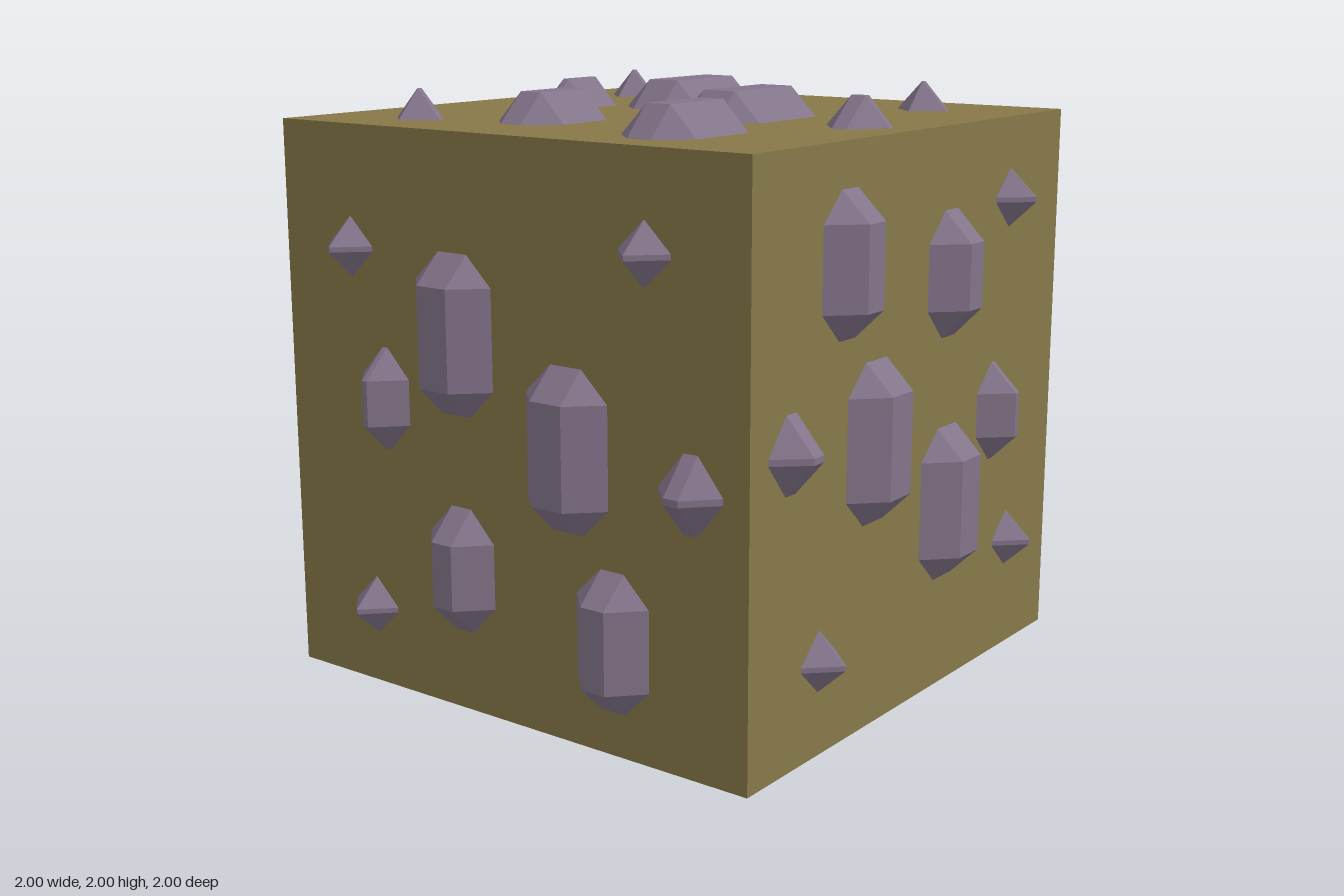
import * as THREE from 'three';

const HALF = 0.906;   // half side of the block
const DEPTH = 0.094;  // how far crystals stand out

// Crystal sizes: half width, half height, half width of flat, half height of flat
const SIZES = {
  large: [0.154, 0.25, 0.058, 0.158],
  tall: [0.135, 0.218, 0.043, 0.128],
  medium: [0.132, 0.2, 0.04, 0.104],
  narrow: [0.1, 0.165, 0.01, 0.073],
  wide: [0.112, 0.118, 0.025, 0.01],
  small: [0.093, 0.095, 0.002, 0.008],
};

// Crystal positions on one face: size, across, up
const LAYOUT = [
  ['large', 0.256, 0.003], ['large', -0.184, 0.293],
  ['tall', 0.422, -0.552], ['medium', -0.173, -0.447],
  ['narrow', -0.483, 0.053], ['wide', 0.706, -0.053],
  ['small', -0.616, 0.523], ['small', 0.546, 0.609], ['small', -0.558, -0.644],
];

// Across and up directions of each face; the outward normal is their cross product
const FACES = {
  front: [[1, 0, 0], [0, 1, 0]],
  back: [[1, 0, 0], [0, -1, 0]],
  left: [[0, 0, 1], [0, -1, 0]],
  right: [[0, 0, 1], [0, 1, 0]],
  top: [[1, 0, 0], [0, 0, -1]],
  bottom: [[-1, 0, 0], [0, 0, -1]],
};

// Half-buried bevelled crystal: flat top, four sloped sides, four corner facets
function crystalGeometry([w, h, fw, fh]) {
  const pos = [];
  const tri = (a, b, c) => pos.push(...a, ...b, ...c);
  const quad = (a, b, c, d) => { tri(a, b, c); tri(a, c, d); };
  const flat = (sx, sy) => [sx * fw, sy * fh, DEPTH];
  const side = (sx, sy) => [sx * w, sy * fh, 0];
  const tip = (sx, sy) => [sx * fw, sy * h, 0];

  quad(flat(-1, -1), flat(1, -1), flat(1, 1), flat(-1, 1));
  for (const s of [1, -1]) {
    quad(flat(s, -s), side(s, -s), side(s, s), flat(s, s));
    quad(flat(s, s), tip(s, s), tip(-s, s), flat(-s, s));
    tri(flat(s, s), side(s, s), tip(s, s));
    tri(flat(s, -s), tip(s, -s), side(s, -s));
  }
  const geo = new THREE.BufferGeometry();
  geo.setAttribute('position', new THREE.Float32BufferAttribute(pos, 3));
  geo.computeVertexNormals();
  return geo;
}

export function createModel() {
  const stone = new THREE.MeshStandardMaterial({ color: 0x867848 });
  stone.name = 'olive stone';
  const crystal = new THREE.MeshStandardMaterial({ color: 0x83748a });
  crystal.name = 'mauve crystal';

  const model = new THREE.Group();
  model.name = 'crystalBlock';

  const block = new THREE.Mesh(new THREE.BoxGeometry(2 * HALF, 2 * HALF, 2 * HALF), stone);
  block.name = 'block';
  block.position.y = 1;
  model.add(block);

  const geos = {};
  for (const size in SIZES) geos[size] = crystalGeometry(SIZES[size]);

  // The same crystal layout, turned onto each face
  for (const [face, [u, v]] of Object.entries(FACES)) {
    const across = new THREE.Vector3(...u);
    const up = new THREE.Vector3(...v);
    const out = across.clone().cross(up);
    const group = new THREE.Group();
    group.name = face + 'Crystals';
    group.quaternion.setFromRotationMatrix(new THREE.Matrix4().makeBasis(across, up, out));
    group.position.copy(out).multiplyScalar(HALF);
    group.position.y += 1;
    for (const [size, x, y] of LAYOUT) {
      const mesh = new THREE.Mesh(geos[size], crystal);
      mesh.name = size + 'Crystal';
      mesh.position.set(x, y, 0);
      group.add(mesh);
    }
    model.add(group);
  }
  return model;
}
